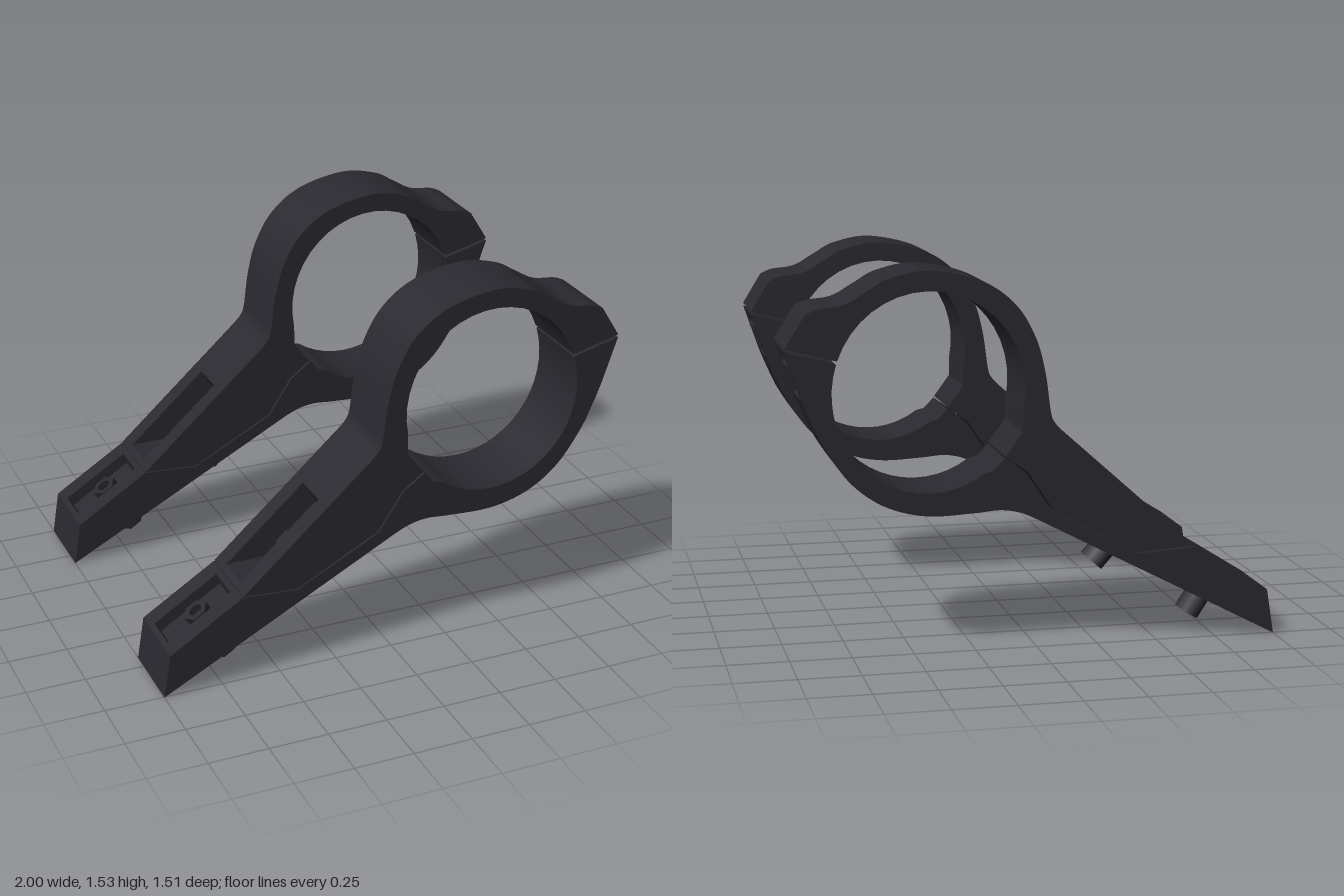
import * as THREE from 'three';
import { mergeGeometries, toCreasedNormals } from 'three/addons/utils/BufferGeometryUtils.js';

const HALF = 0.163; // half thickness of a bracket
const RAD = Math.PI / 180;
const lines = (s, pts) => pts.forEach(([x, y]) => s.lineTo(x, y));
const spline = (s, pts) => s.splineThru(pts.map(([x, y]) => new THREE.Vector2(x, y)));

// Upper clamp half: arm wedge, arch of the ring and closing lug
function upperProfile(topPocket) {
  const s = new THREE.Shape();
  s.moveTo(-0.655, 0.385);
  if (topPocket) lines(s, [[-0.635, 0.403], [-0.47, 0.405], [-0.24, 0.611], [-0.295, 0.708]]);
  lines(s, [[-0.1, 0.882]]);
  spline(s, [[-0.07, 0.915], [-0.053, 0.96], [-0.03, 1.12], [0.01, 1.26], [0.09, 1.39],
    [0.225, 1.485], [0.43, 1.53], [0.59, 1.503], [0.68, 1.455], [0.77, 1.405], [0.87, 1.39], [0.92, 1.37]]);
  lines(s, [[1, 1.24], [0.81, 1.19]]);
  s.absellipse(0.435, 1.05, 0.385, 0.4, 20 * RAD, 192 * RAD, false, 0);
  lines(s, [[0.06, 0.88], [0.13, 0.785], [0.04, 0.72], [-0.07, 0.555], [-0.42, 0.37]]);
  return s;
}

// Lower clamp half: long arm and cradle of the ring
function lowerProfile(topPocket, sidePocket) {
  const s = new THREE.Shape();
  s.moveTo(-1, 0);
  lines(s, [[-0.97, 0.185]]);
  if (topPocket) lines(s, [[-0.95, 0.198], [-0.923, 0.156], [-0.665, 0.32], [-0.68, 0.369]]);
  lines(s, [[-0.66, 0.38], [-0.421, 0.364], [-0.066, 0.549], [0.045, 0.714], [0.133, 0.778], [0.18, 0.73]]);
  s.absellipse(0.435, 1.05, 0.385, 0.4, 235 * RAD, 378 * RAD, false, 0);
  lines(s, [[0.812, 1.18], [1, 1.228]]);
  if (sidePocket) lines(s, [[0.987, 1.19], [0.87, 1.163], [0.87, 1.1]]);
  lines(s, [[0.933, 1.03]]);
  spline(s, [[0.9, 0.95], [0.85, 0.845], [0.76, 0.715], [0.66, 0.63], [0.55, 0.58], [0.42, 0.557],
    [0.25, 0.563], [0.15, 0.57], [0.07, 0.556], [0, 0.525]]);
  return s;
}

// Stack slabs across the thickness so the pockets have closed side walls
function slabs(layers) {
  return mergeGeometries(layers.map(([z0, z1, shape]) => {
    const g = new THREE.ExtrudeGeometry(shape, { depth: z1 - z0, bevelEnabled: false, curveSegments: 40 / 4 });
    g.translate(0, 0, z0);
    g.clearGroups();
    return toCreasedNormals(g, 0.45);
  }));
}

// Hexagonal nut with a round bore, axis along +y, base at y = 0
function nutGeometry(radius, height) {
  const s = new THREE.Shape();
  for (let i = 0; i < 6; i++) {
    const a = i * 60 * RAD;
    s[i ? 'lineTo' : 'moveTo'](radius * Math.cos(a), radius * Math.sin(a));
  }
  const bore = new THREE.Path();
  bore.absarc(0, 0, radius * 0.5, 0, Math.PI * 2, true);
  s.holes.push(bore);
  return new THREE.ExtrudeGeometry(s, { depth: height, bevelEnabled: false, curveSegments: 8 }).rotateX(-Math.PI / 2);
}

export function createModel() {
  const model = new THREE.Group();
  model.name = 'clampBrackets';
  const black = new THREE.MeshStandardMaterial({ color: 0x2a2930 });
  black.name = 'charcoalBlack';

  const upper = slabs([
    [-HALF, -0.08, upperProfile(false)],
    [-0.08, 0.08, upperProfile(true)],
    [0.08, HALF, upperProfile(false)],
  ]);
  const lower = slabs([
    [-HALF, -0.105, lowerProfile(false, false)],
    [-0.105, -0.08, lowerProfile(false, true)],
    [-0.08, 0.08, lowerProfile(true, true)],
    [0.08, 0.105, lowerProfile(false, true)],
    [0.105, HALF, lowerProfile(false, false)],
  ]);
  const nut = nutGeometry(0.055, 0.032);
  const boltEnd = new THREE.CylinderGeometry(0.058, 0.058, 0.14, 6).rotateY(30 * RAD).translate(0, 0.07, 0);

  for (const side of [1, -1]) {
    const bracket = new THREE.Group();
    bracket.name = side > 0 ? 'frontBracket' : 'backBracket';
    bracket.position.z = side * 0.591;
    const add = (name, geometry, x = 0, y = 0, tilt = 0) => {
      const mesh = new THREE.Mesh(geometry, black);
      mesh.name = name;
      mesh.position.set(x, y, 0);
      mesh.rotation.z = tilt * RAD;
      bracket.add(mesh);
    };
    add('upperClamp', upper);
    add('lowerClamp', lower);
    // Nuts in the pockets
    add('armNut', nut, -0.785, 0.244, 32.5);
    add('wedgeNut', nut, -0.385, 0.481, 41.8);
    add('lugNut', nut, 0.93, 1.178, 194);
    // Hexagonal bolt ends under the arm
    add('armBoltEnd', boltEnd, -0.675, 0.067, 33);
    add('wedgeBoltEnd', boltEnd, -0.265, 0.305, 41.5);
    model.add(bracket);
  }
  return model;
}
